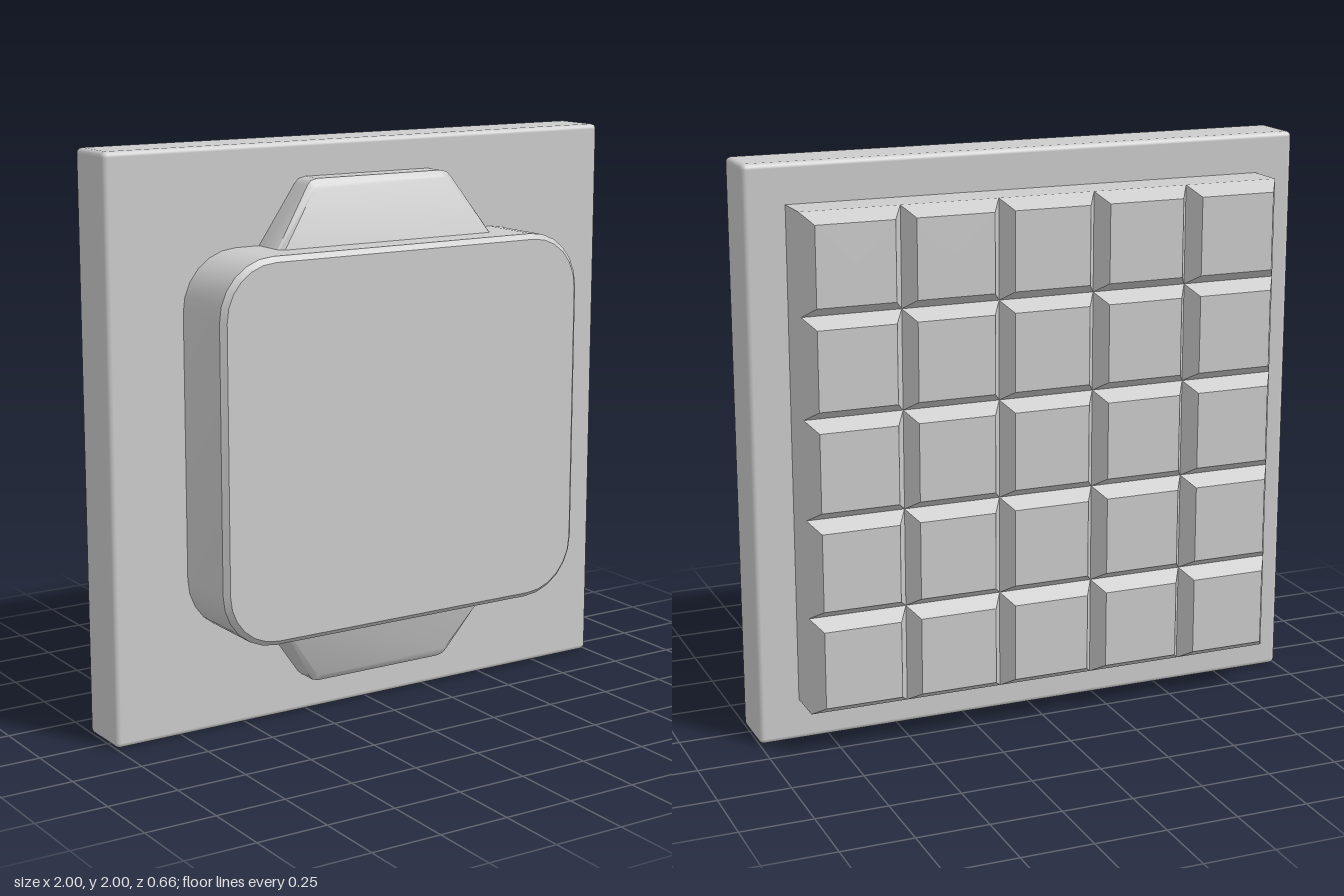
import * as THREE from 'three';
import { toCreasedNormals } from 'three/addons/utils/BufferGeometryUtils.js';
import { RoundedBoxGeometry } from 'three/addons/geometries/RoundedBoxGeometry.js';

const MID_Y = 1.005; // centre height of the pad, tabs and tile grid

export function createModel() {
  const model = new THREE.Group();
  const material = new THREE.MeshStandardMaterial({ color: 0xcccccc });

  const add = (name, geometry, x, y, z, parent = model) => {
    const mesh = new THREE.Mesh(geometry, material);
    mesh.name = name;
    mesh.position.set(x, y, z);
    parent.add(mesh);
    return mesh;
  };

  // Extrudes a shape from z = 0 to z = depth with chamfered rims inside the outline
  const chamferedExtrude = (shape, depth, chamfer) => {
    const geometry = new THREE.ExtrudeGeometry(shape, {
      depth: depth - 2 * chamfer,
      bevelSize: chamfer, bevelThickness: chamfer, bevelOffset: -chamfer,
      bevelSegments: 1, curveSegments: 3,
    });
    return geometry.translate(0, 0, chamfer);
  };

  // Square back plate with softened edges
  add('plate', new RoundedBoxGeometry(2, 2, 0.2, 2, 0.018), 0, 1, -0.03);

  // Front pad with rounded corners
  const w = 0.72, h = 0.655, r = 0.2;
  const padShape = new THREE.Shape();
  padShape.absarc(w - r, h - r, r, 0, Math.PI / 2);
  padShape.absarc(r - w, h - r, r, Math.PI / 2, Math.PI);
  padShape.absarc(r - w, r - h, r, Math.PI, Math.PI * 1.5);
  padShape.absarc(w - r, r - h, r, Math.PI * 1.5, Math.PI * 2);
  padShape.closePath();
  add('frontPad', toCreasedNormals(chamferedExtrude(padShape, 0.28, 0.018), 0.6), 0, MID_Y, 0.05);

  // Tapered tabs above and below the pad; the front face leans back away from it
  const half = [[0.472, 0.595], [0.29, 0.855], [0.275, 0.87], [0.25, 0.876]];
  const outline = [...half, ...half.map(([x, y]) => [-x, y]).reverse()];
  const tabShape = new THREE.Shape(outline.map(([x, y]) => new THREE.Vector2(x, y)));
  const tabDepth = 0.16;
  const tabGeometry = chamferedExtrude(tabShape, tabDepth, 0.02);
  const p = tabGeometry.attributes.position;
  for (let i = 0; i < p.count; i++) {
    const lean = (p.getY(i) - 0.655) * 0.22;
    p.setZ(i, p.getZ(i) - (lean * p.getZ(i)) / tabDepth);
  }
  const tab = toCreasedNormals(tabGeometry, 0.6);
  add('upperTab', tab, 0, MID_Y, 0.05);
  add('lowerTab', tab, 0, MID_Y, 0.05).rotation.z = Math.PI;

  // Rear block carrying a grid of bevelled tiles with V grooves between
  const pitch = 0.343, count = 5, face = 0.273, height = 0.057, inset = 0.036;
  const rear = new THREE.Group();
  rear.name = 'rearGrip';
  model.add(rear);
  const span = pitch * count;
  add('gripBase', new THREE.BoxGeometry(span, span, face - 0.11), 0, MID_Y, -(face + 0.11) / 2, rear);

  const tileGeometry = toCreasedNormals(
    new THREE.CylinderGeometry((pitch / 2 - inset) * Math.SQRT2, (pitch / 2) * Math.SQRT2, height, 4)
      .rotateY(Math.PI / 4)
      .rotateX(-Math.PI / 2), 0.3);
  for (let row = 0; row < count; row++) {
    for (let col = 0; col < count; col++) {
      add('gripTile', tileGeometry, (col - 2) * pitch, MID_Y + (row - 2) * pitch, -face - height / 2, rear);
    }
  }

  return model;
}
